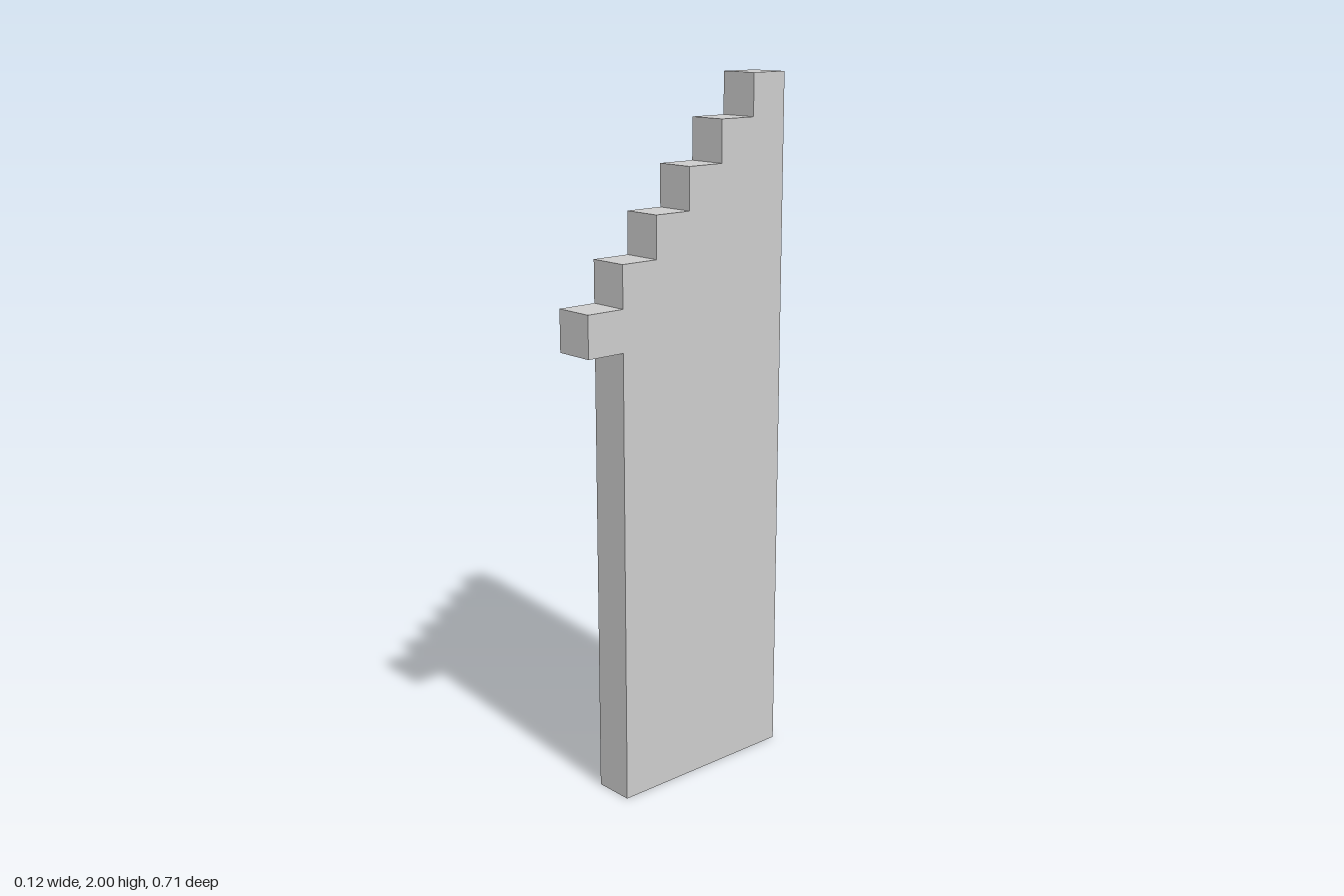
import * as THREE from 'three';

const UNIT = 2 / 17; // one step: wall thickness, tread and riser
const STEPS = 6;

export function createModel() {
  const group = new THREE.Group();
  group.name = 'steppedGableWall';

  // Side outline in step units: x runs from back to front, y is up
  const outline = [[0, 0], [0, 17]];
  for (let i = 1; i <= STEPS; i++) {
    outline.push([i, 18 - i], [i, 17 - i]);
  }
  // The lowest step overhangs the front face
  outline[outline.length - 1] = [STEPS, 11];
  outline.push([STEPS - 1, 11], [STEPS - 1, 0]);

  const shape = new THREE.Shape(
    outline.map(([x, y]) => new THREE.Vector2((x - STEPS / 2) * UNIT, y * UNIT))
  );

  // Extrude across the thickness, then turn the outline to face along z
  const geometry = new THREE.ExtrudeGeometry(shape, { depth: UNIT, bevelEnabled: false });
  geometry.translate(0, 0, -UNIT / 2);
  geometry.rotateY(-Math.PI / 2);

  const wall = new THREE.Mesh(
    geometry,
    new THREE.MeshStandardMaterial({ color: 0xcccccc, flatShading: true })
  );
  wall.name = 'wall';
  group.add(wall);
  return group;
}
